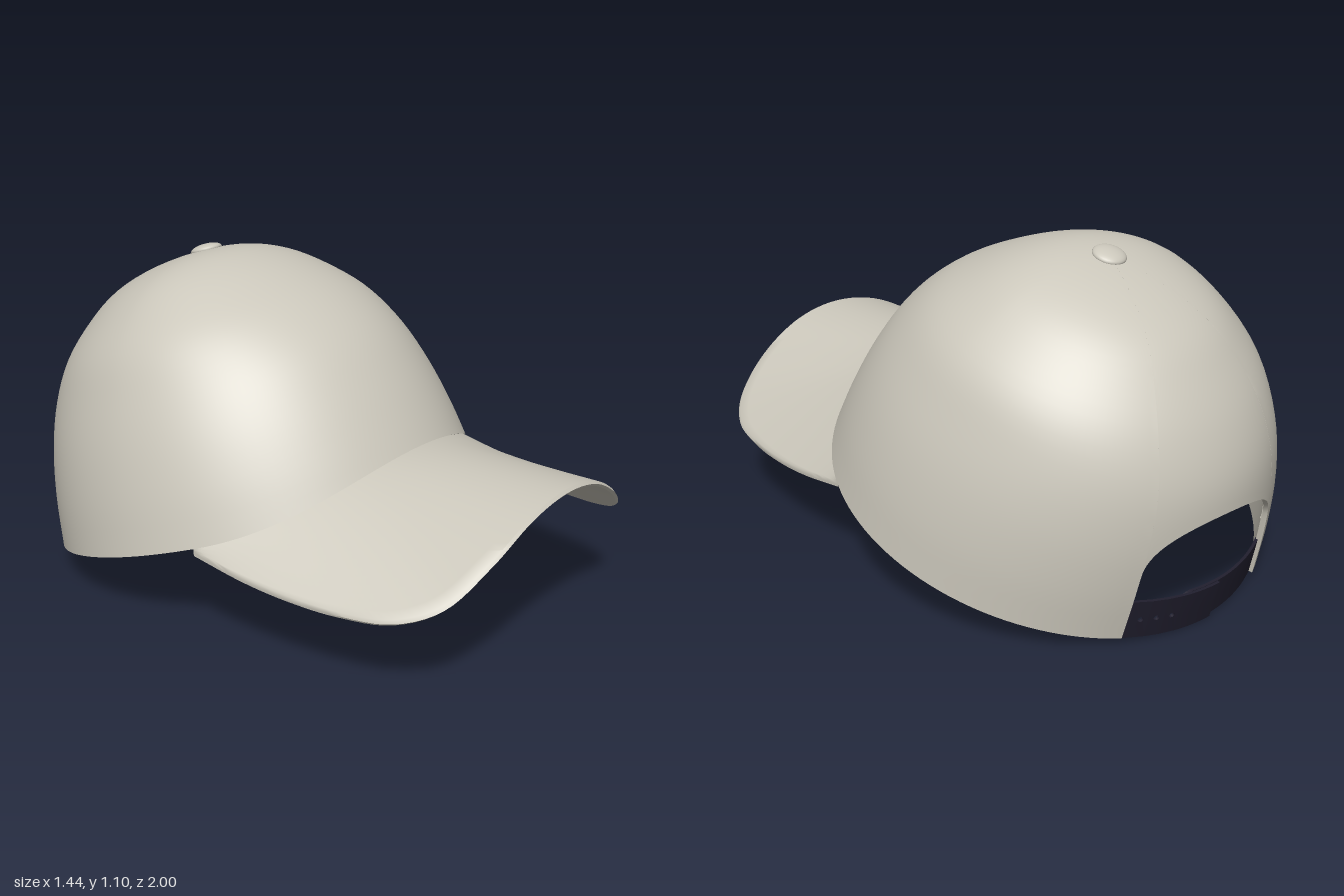
import * as THREE from 'three';
import { toCreasedNormals } from 'three/addons/utils/BufferGeometryUtils.js';

const TILT = 0.315, HEIGHT = 0.877, CENTRE = -0.21, BASE_Y = 0.3;
const VISOR_ANGLE = THREE.MathUtils.degToRad(67);
const GAP = Math.asin(0.42); // half angle of the opening at the back
const V = (x, y, z) => new THREE.Vector3(x, y, z);

// Crown radii (front, side, back) from rim to apex
const front = [0.74, 0.703, 0.655, 0.59, 0.49, 0.365, 0.245, 0.13, 0];
const side = [0.722, 0.697, 0.657, 0.6, 0.533, 0.43, 0.315, 0.17, 0];
const back = [0.765, 0.753, 0.728, 0.68, 0.593, 0.48, 0.36, 0.195, 0];
const radii = new THREE.CatmullRomCurve3(front.map((f, i) => V(f, side[i], back[i])), false, 'catmullrom');

const toS = (h) => Math.asin(THREE.MathUtils.clamp(h / HEIGHT, 0, 1)) * 2 / Math.PI;

// Point on the tilted crown: angle from the front, s from rim (0) to apex (1), inset inwards
function crownPoint(angle, s, inset = 0) {
  const r = radii.getPoint(s), k = 1 - inset / 0.72;
  const c = Math.cos(angle);
  const d = CENTRE + c * (c > 0 ? r.x : r.z) * k;
  const h = HEIGHT * Math.sin(s * Math.PI / 2) * (1 - inset / HEIGHT);
  const cs = Math.cos(TILT), sn = Math.sin(TILT);
  return V(Math.sin(angle) * r.y * k, BASE_Y + cs * h + sn * d, cs * d - sn * h);
}

// Rim is lifted at the front, where the visor joins
function rimHeight(angle) {
  const a = Math.abs(angle) / VISOR_ANGLE;
  return a >= 1 ? 0 : 0.108 * Math.pow(Math.cos(a * Math.PI / 2), 2.2);
}

// Skin a list of equally long rows of points
function skin(rows) {
  const n = rows[0].length, pos = [], index = [];
  rows.forEach((row) => row.forEach((p) => pos.push(p.x, p.y, p.z)));
  for (let i = 0; i < rows.length - 1; i++) {
    for (let j = 0; j < n - 1; j++) {
      const a = i * n + j, b = a + 1, c = b + n, d = a + n;
      index.push(a, b, c, a, c, d);
    }
  }
  const geo = new THREE.BufferGeometry();
  geo.setAttribute('position', new THREE.Float32BufferAttribute(pos, 3));
  geo.setIndex(index);
  return toCreasedNormals(geo, 0.7);
}

// One wall section: down the outside, then up the inside
function column(angle, topS, bottomH, outer, inner, steps) {
  const s0 = toS(bottomH), row = [];
  for (let j = 0; j <= steps; j++) row.push(crownPoint(angle, topS + (s0 - topS) * j / steps, outer));
  for (let j = steps; j >= 0; j--) row.push(crownPoint(angle, topS + (s0 - topS) * j / steps, inner));
  return row;
}

function crownGeometry() {
  const rows = [], N = 112, M = 32, end = Math.PI - GAP;
  for (let i = 0; i <= N; i++) {
    const a = -end + 2 * end * i / N;
    rows.push(column(a, 1, rimHeight(a), 0, 0.015, 32));
  }
  // arched opening
  for (let i = 0; i <= M; i++) {
    const t = Math.PI * i / M;
    const a = Math.PI - Math.asin(Math.sin(GAP) * Math.cos(t));
    rows.push(column(a, 1, 0.225 + 0.175 * Math.pow(Math.max(0, Math.sin(t)), 0.85), 0, 0.015, 32));
  }
  rows.push(rows[0]);
  return skin(rows);
}

function sweatbandGeometry() {
  const rows = [], N = 96, end = Math.PI - GAP;
  for (let i = 0; i <= N; i++) {
    const a = -end + 2 * end * i / N;
    const row = column(a, toS(0.225 + rimHeight(a) * 0.3), rimHeight(a) + 0.004, 0.013, 0.02, 6);
    rows.push([...row, row[0]]);
  }
  return skin(rows);
}

function visorGeometry() {
  const half = [[0.66, 0.318, 0.075], [0.657, 0.287, 0.28], [0.645, 0.271, 0.45], [0.622, 0.266, 0.62],
    [0.58, 0.279, 0.79], [0.5, 0.328, 0.905], [0.36, 0.432, 0.97], [0.18, 0.526, 0.994]];
  const edge = new THREE.CatmullRomCurve3([
    ...half.map(([x, y, z]) => V(-x, y, z)), V(0, 0.556, 1), ...half.slice().reverse().map((p) => V(...p))]);
  const rows = [], N = 96, K = 14, T = 0.018;
  for (let i = 0; i <= N; i++) {
    const a = VISOR_ANGLE * (2 * i / N - 1);
    const inner = crownPoint(a, toS(rimHeight(a)), 0.004), outer = edge.getPointAt(i / N);
    const top = [], bottom = [];
    for (let j = 0; j <= K; j++) {
      const p = inner.clone().lerp(outer, 0.985 * j / K);
      top.push(p);
      bottom.unshift(p.clone().setY(p.y - T));
    }
    const lip = outer.clone().setY(outer.y - T / 2);
    rows.push([...top, lip, ...bottom, top[0]]);
  }
  return skin(rows);
}

// Wrap a flat strap piece (x, height, depth inwards) around the back of the crown
function wrap(geo) {
  const p = geo.attributes.position;
  for (let i = 0; i < p.count; i++) {
    const s = toS(p.getY(i));
    const a = Math.PI - Math.asin(p.getX(i) / radii.getPoint(s).y);
    const q = crownPoint(a, s, p.getZ(i));
    p.setXYZ(i, q.x, q.y, q.z);
  }
  return toCreasedNormals(geo, 0.5);
}

const STRAP_H = 0.138, STRAP_T = 0.009;
const band = (x0, x1, depth) => wrap(new THREE.BoxGeometry(x1 - x0, STRAP_H, STRAP_T, 20, 6, 1)
  .translate((x0 + x1) / 2, STRAP_H / 2, depth + STRAP_T / 2));

function plate(shape, depth) {
  return wrap(new THREE.ExtrudeGeometry(shape, { depth: STRAP_T, bevelEnabled: false, curveSegments: 12 })
    .translate(0, 0, depth));
}

function holePlate(x0, x1, hx) {
  const s = new THREE.Shape([[x0, 0], [x1, 0], [x1, STRAP_H], [x0, STRAP_H]].map((p) => new THREE.Vector2(...p)));
  s.holes.push(new THREE.Path().absarc(hx, STRAP_H / 2, 0.009, 0, Math.PI * 2, true));
  return plate(s, 0.002);
}

function roundedTip(x0, x1, r) {
  const s = new THREE.Shape();
  s.moveTo(x0, 0);
  s.lineTo(x1 - r, 0);
  s.absarc(x1 - r, r, r, -Math.PI / 2, 0, false);
  s.absarc(x1 - r, STRAP_H - r, r, 0, Math.PI / 2, false);
  s.lineTo(x0, STRAP_H);
  return plate(s, 0.012);
}

export function createModel() {
  const cap = new THREE.Group();
  cap.name = 'cap';
  const cloth = new THREE.MeshStandardMaterial({ color: 0xcbc7bb });
  cloth.name = 'stone cloth';
  const plastic = new THREE.MeshStandardMaterial({ color: 0x201e2d });
  plastic.name = 'dark navy plastic';
  const add = (parent, name, geo, mat) => {
    const m = new THREE.Mesh(geo, mat);
    m.name = name;
    parent.add(m);
    return m;
  };

  add(cap, 'crown', crownGeometry(), cloth);
  add(cap, 'sweatband', sweatbandGeometry(), cloth);
  add(cap, 'visor', visorGeometry(), cloth);

  // Button on the apex
  const button = add(cap, 'button', new THREE.SphereGeometry(0.055, 32, 16).scale(1, 0.36, 1), cloth);
  button.position.copy(crownPoint(0, 1));
  button.rotation.x = -TILT;

  // Adjustable strap: a rounded tab overlapping a punched tab
  const strap = new THREE.Group();
  strap.name = 'strap';
  cap.add(strap);
  add(strap, 'tab', band(-0.302, 0.075, 0.012), plastic);
  add(strap, 'tabTip', roundedTip(0.075, 0.135, 0.05), plastic);
  add(strap, 'punchedTab', band(-0.02, 0.13, 0.002), plastic);
  [[0.13, 0.183, 0.156], [0.183, 0.235, 0.209], [0.235, 0.285, 0.26]].forEach(([a, b, h], i) =>
    add(strap, 'punchedHole' + (i + 1), holePlate(a, b, h), plastic));
  add(strap, 'punchedTabEnd', band(0.285, 0.305, 0.002), plastic);
  return cap;
}
